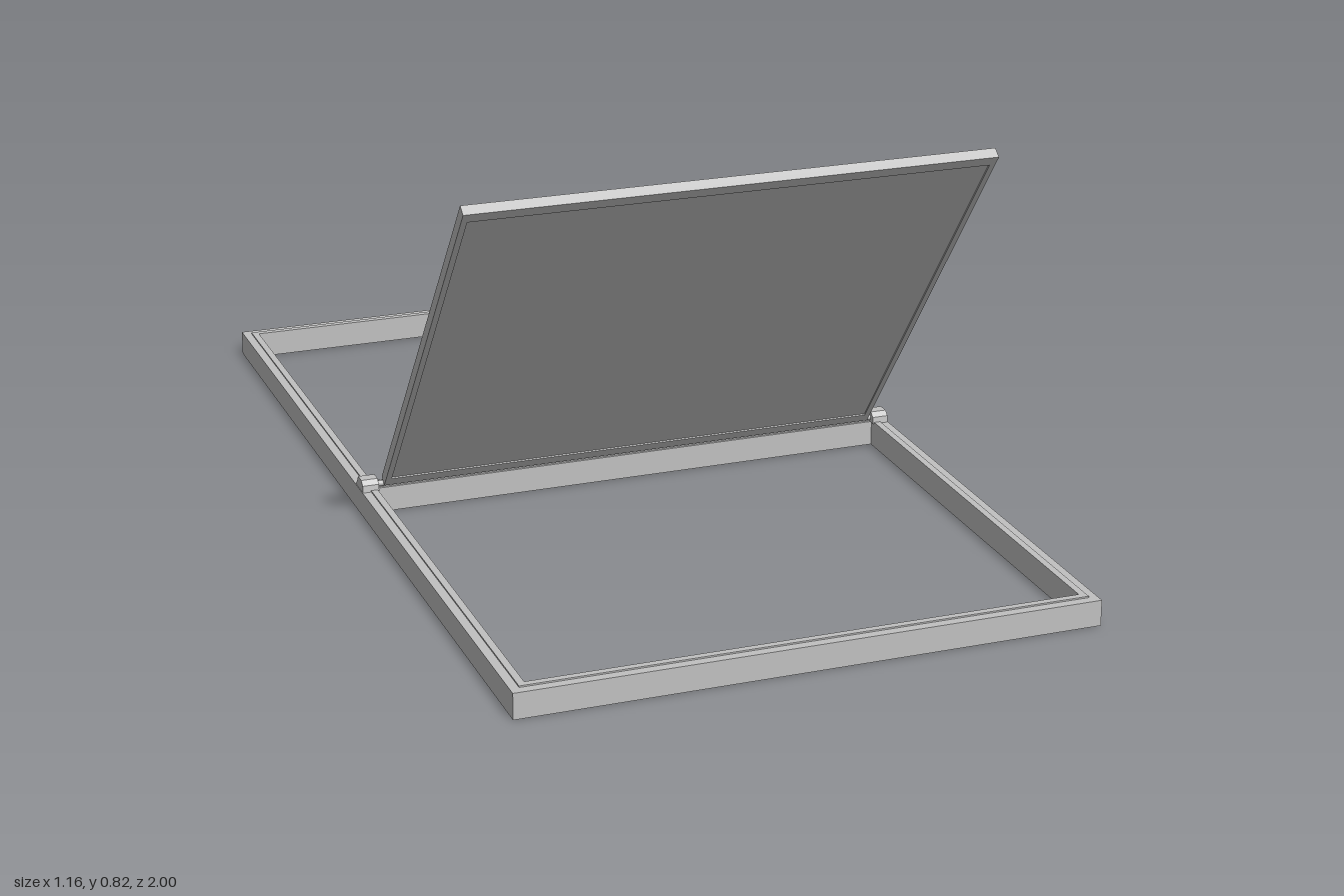
import * as THREE from 'three';

const metal = new THREE.MeshStandardMaterial({ color: 0xc0c0c0 });
metal.name = 'light grey metal';

function add(parent, name, geometry, x = 0, y = 0, z = 0) {
  const mesh = new THREE.Mesh(geometry, metal);
  mesh.name = name;
  mesh.position.set(x, y, z);
  parent.add(mesh);
  return mesh;
}

const box = (w, h, d) => new THREE.BoxGeometry(w, h, d);

// Flat rectangular ring lying in the xz plane, rising from y
function ring(parent, name, halfX, halfZ, innerX, innerZ, y, height) {
  const shape = new THREE.Shape([
    new THREE.Vector2(-halfX, -halfZ), new THREE.Vector2(halfX, -halfZ),
    new THREE.Vector2(halfX, halfZ), new THREE.Vector2(-halfX, halfZ)]);
  shape.holes.push(new THREE.Path([
    new THREE.Vector2(-innerX, -innerZ), new THREE.Vector2(-innerX, innerZ),
    new THREE.Vector2(innerX, innerZ), new THREE.Vector2(innerX, -innerZ)]));
  const g = new THREE.ExtrudeGeometry(shape, { depth: height, bevelEnabled: false });
  g.rotateX(-Math.PI / 2);
  return add(parent, name, g, 0, y, 0);
}

export function createModel() {
  const model = new THREE.Group();
  model.name = 'hatch';

  // Base frame with a low raised lip on its inner edge
  ring(model, 'baseFrame', 0.58, 1, 0.548, 0.967, 0, 0.052);
  ring(model, 'frameLip', 0.562, 0.981, 0.548, 0.967, 0.052, 0.003);

  // Cross bar under the hinge
  add(model, 'crossBar', box(1.096, 0.052, 0.045), 0, 0.026, -0.0135);
  add(model, 'crossBarLip', box(1.09, 0.005, 0.024), 0, 0.0545, -0.0085);

  // Hinge blocks with sloping shoulders, joined by a rod
  const profile = new THREE.Shape([
    new THREE.Vector2(-0.024, 0.052), new THREE.Vector2(0.03, 0.052),
    new THREE.Vector2(0.018, 0.066), new THREE.Vector2(0.012, 0.075),
    new THREE.Vector2(-0.012, 0.075), new THREE.Vector2(-0.022, 0.066)]);
  for (const side of [-1, 1]) {
    const g = new THREE.ExtrudeGeometry(profile, { depth: 0.034, bevelEnabled: false });
    g.translate(0, 0, -0.017).rotateY(Math.PI / 2);
    add(model, 'hingeBlock', g, side * 0.562, 0, 0);
  }
  const rod = new THREE.CylinderGeometry(0.006, 0.006, 1.1, 16);
  rod.rotateZ(Math.PI / 2);
  add(model, 'hingeRod', rod, 0, 0.061, 0.005);

  // Tilted lid: its local y runs up the slope, local +z is the underside
  const lid = new THREE.Group();
  lid.name = 'lid';
  lid.position.set(0, 0.067, 0.01);
  lid.rotation.x = Math.atan2(0.61, 0.79);
  model.add(lid);
  const length = 0.945, half = 0.533;

  add(lid, 'lidCore', box(half * 2 - 0.01, length - 0.01, 0.016), 0, length / 2, 0);
  add(lid, 'lidTopSheet', box(half * 2, length, 0.003), 0, length / 2, -0.0095);

  // Edge bars around the underside
  for (const side of [-1, 1])
    add(lid, 'sideEdge', box(0.012, length, 0.019), side * (half - 0.006), length / 2, 0.0015);
  for (const y of [0.012, length - 0.012])
    add(lid, 'endEdge', box(half * 2 - 0.024, 0.024, 0.019), 0, y, 0.0015);

  // Rows of small rivets on the upper sheet
  const rivet = new THREE.CylinderGeometry(0.002, 0.002, 0.001, 8);
  rivet.rotateX(Math.PI / 2);
  const inset = 0.03;
  for (let i = 0; i < 15; i++) {
    const x = THREE.MathUtils.lerp(-half + inset, half - inset, i / 14);
    for (const y of [inset, length - inset]) add(lid, 'rivet', rivet, x, y, -0.0113);
  }
  for (let i = 1; i < 24; i++) {
    const y = THREE.MathUtils.lerp(inset, length - inset, i / 24);
    for (const side of [-1, 1]) add(lid, 'rivet', rivet, side * (half - 0.015), y, -0.0113);
  }
  return model;
}
